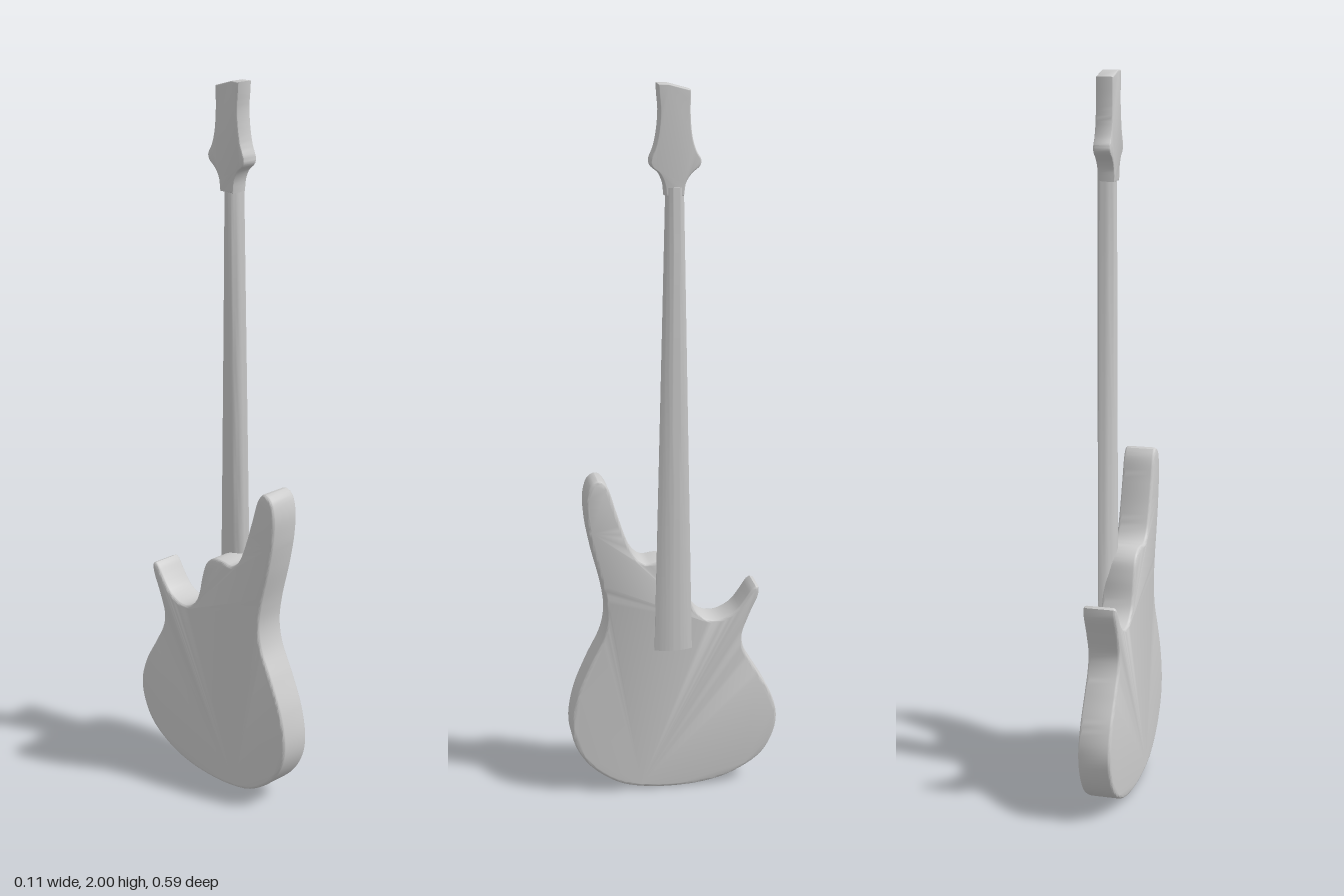
import * as THREE from 'three';
import { toCreasedNormals } from 'three/addons/utils/BufferGeometryUtils.js';

const material = new THREE.MeshStandardMaterial({ color: 0xcccccc });

function addMesh(group, geometry, name, crease = 0.6) {
  const mesh = new THREE.Mesh(toCreasedNormals(geometry, crease), material);
  mesh.name = name;
  group.add(mesh);
}

// Slab with rounded edges, cut from a [z, y] outline and spanning x0..x1
function slab(points, x0, x1, bevel) {
  const shape = new THREE.Shape(points.map(([z, y]) => new THREE.Vector2(-z, y)));
  const geometry = new THREE.ExtrudeGeometry(shape, {
    depth: x1 - x0 - 2 * bevel, bevelThickness: bevel, bevelSize: bevel,
    bevelOffset: -bevel, bevelSegments: 4,
  });
  geometry.translate(0, 0, x0 + bevel);
  geometry.rotateY(Math.PI / 2);
  return geometry;
}

// Smooth closed or open curve through [z, y] points
function smooth(points, count, closed) {
  const curve = new THREE.CatmullRomCurve3(
    points.map(([z, y]) => new THREE.Vector3(z, y, 0)), closed, 'centripetal');
  const result = curve.getSpacedPoints(count).map((p) => [p.x, p.y]);
  if (closed) result.pop();
  return result;
}

export function createModel() {
  const model = new THREE.Group();
  model.name = 'bassGuitar';

  // Body with a long upper horn and a short lower horn
  const bodyOutline = [
    [0, 0.004], [0.09, 0.01], [0.164, 0.03], [0.244, 0.088], [0.286, 0.155], [0.297, 0.218],
    [0.281, 0.308], [0.244, 0.398], [0.203, 0.483], [0.192, 0.546], [0.2, 0.615],
    [0.228, 0.73], [0.244, 0.82], [0.246, 0.89], [0.231, 0.933], [0.207, 0.943],
    [0.187, 0.923], [0.164, 0.854], [0.138, 0.775], [0.112, 0.718], [0.085, 0.697],
    [0.053, 0.7], [0.015, 0.698], [-0.015, 0.675], [-0.032, 0.63], [-0.045, 0.575],
    [-0.062, 0.54], [-0.09, 0.518], [-0.127, 0.515], [-0.17, 0.536], [-0.2, 0.573],
    [-0.221, 0.603], [-0.236, 0.609], [-0.239, 0.585], [-0.212, 0.52], [-0.192, 0.46],
    [-0.198, 0.42], [-0.233, 0.355], [-0.276, 0.28], [-0.296, 0.21], [-0.287, 0.149],
    [-0.25, 0.085], [-0.17, 0.034], [-0.09, 0.011],
  ];
  addMesh(model, slab(smooth(bodyOutline, 220, true), -0.058, 0.033, 0.009), 'body');

  // Neck: domed fingerboard in front, rounded back, tapering towards the head
  const section = new THREE.Shape();
  section.moveTo(0.045, -1);
  section.quadraticCurveTo(0.067, 0, 0.045, 1);
  section.bezierCurveTo(-0.01, 1, -0.01, -1, 0.045, -1);
  const bottom = 0.44, top = 1.735;
  const neck = new THREE.ExtrudeGeometry(section, {
    depth: top - bottom, bevelEnabled: false, curveSegments: 20, steps: 8,
  });
  neck.rotateX(-Math.PI / 2);
  neck.translate(0, bottom, 0);
  const p = neck.attributes.position;
  for (let i = 0; i < p.count; i++) {
    const t = (p.getY(i) - bottom) / (top - bottom);
    const halfWidth = THREE.MathUtils.lerp(0.053, 0.024, t);
    const centre = THREE.MathUtils.lerp(0.008, 0.004, t);
    p.setZ(i, centre + p.getZ(i) * halfWidth);
  }
  addMesh(model, neck, 'neck');

  // Headstock: slanted top, waisted sides flaring out above the nut
  const leftSide = [
    [0.028, 1.712], [0.032, 1.745], [0.045, 1.772], [0.064, 1.788], [0.068, 1.803],
    [0.055, 1.84], [0.047, 1.88], [0.043, 1.93], [0.046, 1.97], [0.048, 1.999],
  ];
  const rightSide = [
    [-0.038, 1.983], [-0.037, 1.92], [-0.042, 1.865], [-0.052, 1.83], [-0.066, 1.803],
    [-0.061, 1.788], [-0.042, 1.772], [-0.026, 1.748], [-0.02, 1.712],
  ];
  const head = [...smooth(leftSide, 36, false), [0.02, 1.999], ...smooth(rightSide, 36, false)];
  addMesh(model, slab(head, 0.003, 0.05, 0.004), 'headstock');

  return model;
}
